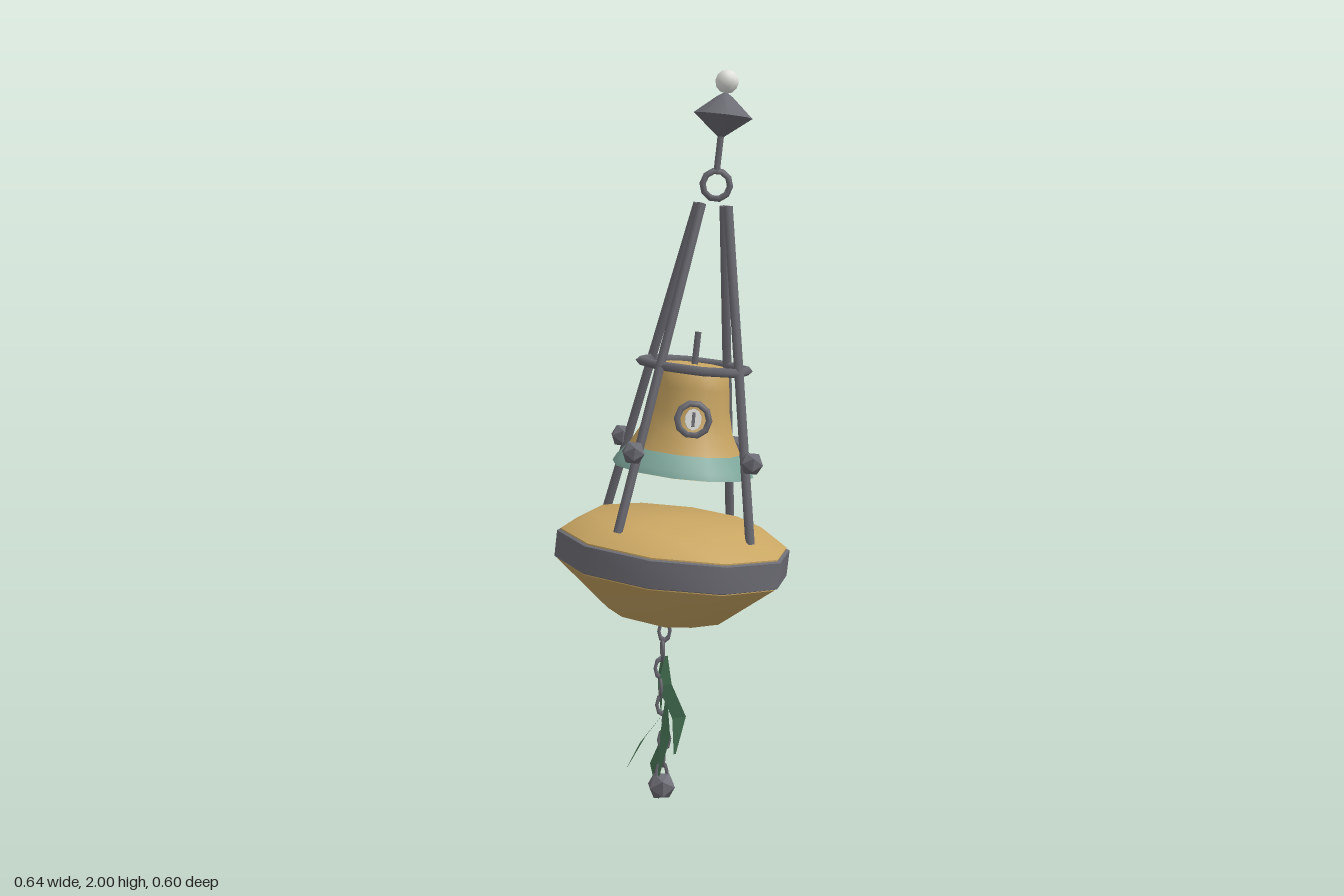
import * as THREE from 'three';
import { toCreasedNormals } from 'three/addons/utils/BufferGeometryUtils.js';

const flat = (name, color, side = THREE.FrontSide) =>
  Object.assign(new THREE.MeshStandardMaterial({ color, side }), { name });

export function createModel() {
  const model = new THREE.Group();
  model.name = 'bellBuoy';
  const brass = flat('brass', 0xc8a562, THREE.DoubleSide);
  const patina = flat('patina', 0x7fa89c, THREE.DoubleSide);
  const iron = flat('iron', 0x6c6c74);
  const white = flat('white', 0xe4e4e0);
  const weed = flat('weed', 0x4c7a5a, THREE.DoubleSide);

  // Everything above the chain leans to one side
  const buoy = new THREE.Group();
  buoy.name = 'leaningBuoy';
  buoy.position.set(-0.02, 0.52, 0);
  buoy.rotation.z = -0.113;
  model.add(buoy);

  const add = (parent, name, geo, mat, x = 0, y = 0, z = 0) => {
    const mesh = new THREE.Mesh(geo, mat);
    mesh.name = name;
    mesh.position.set(x, y, z);
    parent.add(mesh);
    return mesh;
  };
  const lathe = (pts, sides, start, crease = 0.75) =>
    toCreasedNormals(new THREE.LatheGeometry(pts.map(p => new THREE.Vector2(...p)), sides, start), crease);
  const rod = (name, a, b, r, sides = 6) => {
    const from = new THREE.Vector3(...a), to = new THREE.Vector3(...b);
    const dir = to.clone().sub(from);
    const mesh = add(buoy, name, new THREE.CylinderGeometry(r, r, dir.length(), sides), iron);
    mesh.position.copy(from).add(to).multiplyScalar(0.5);
    mesh.quaternion.setFromUnitVectors(new THREE.Vector3(0, 1, 0), dir.normalize());
    return mesh;
  };

  // Ten-sided float with an iron belt
  add(buoy, 'hull', lathe([[0, 0], [0.16, 0.042], [0.308, 0.165], [0.308, 0.248],
    [0.232, 0.297], [0, 0.3]], 10, Math.PI / 2), brass);
  add(buoy, 'hullBand', lathe([[0.306, 0.167], [0.317, 0.171], [0.317, 0.241], [0.306, 0.245]],
    10, Math.PI / 2), iron);

  // Four legs with knobs
  for (const sx of [-1, 1]) for (const sz of [-1, 1]) {
    rod('leg', [sx * 0.174, 0.28, sz * 0.17], [sx * 0.035, 1.14, sz * 0.035], 0.013);
    add(buoy, 'legKnob', new THREE.IcosahedronGeometry(0.032, 0), iron, sx * 0.155, 0.49, sz * 0.156);
  }
  const brace = add(buoy, 'braceRing', new THREE.TorusGeometry(0.146, 0.012, 4, 8), iron, 0, 0.715, 0);
  brace.rotation.x = Math.PI / 2;

  // Bell with a weathered lip, open underneath
  add(buoy, 'bell', lathe([[0.15, 0.493], [0.122, 0.545], [0.108, 0.6], [0.1, 0.66],
    [0.095, 0.695], [0.08, 0.718], [0, 0.72]], 12, Math.PI / 12), brass);
  add(buoy, 'bellLip', lathe([[0.191, 0.437], [0.182, 0.455], [0.15, 0.493]], 12, Math.PI / 12), patina);
  add(buoy, 'bellInside', lathe([[0.187, 0.436], [0.147, 0.49]], 12, Math.PI / 12), brass);
  rod('bellHanger', [0, 0.7, 0], [0, 0.805, 0], 0.009);

  // Round badge on the front of the bell
  const badge = new THREE.Group();
  badge.name = 'badge';
  badge.position.set(-0.004, 0.585, 0.113);
  badge.rotation.x = -0.15;
  buoy.add(badge);
  add(badge, 'badgeRing', new THREE.TorusGeometry(0.042, 0.009, 5, 10), iron);
  const plate = add(badge, 'badgePlate', new THREE.CylinderGeometry(0.022, 0.022, 0.008, 10), white);
  plate.rotation.x = Math.PI / 2;
  plate.scale.z = 1.3;
  add(badge, 'badgeSlit', new THREE.BoxGeometry(0.008, 0.038, 0.006), iron, 0, 0, 0.004);

  // Lifting ring, mast, double-cone topmark and lamp
  add(buoy, 'liftingRing', new THREE.TorusGeometry(0.036, 0.009, 5, 10), iron, 0.003, 1.192, 0);
  rod('mast', [0, 1.225, 0], [0, 1.34, 0], 0.009);
  add(buoy, 'topmark', lathe([[0, 1.31], [0.078, 1.371], [0.02, 1.42], [0, 1.432]], 8, 0, 0.7), iron);
  add(buoy, 'lamp', new THREE.IcosahedronGeometry(0.031, 1), white, 0, 1.458, 0);

  // Chain of alternating links, drifting slightly backwards
  const chain = new THREE.CatmullRomCurve3([[-0.02, 0.51, 0], [-0.03, 0.37, -0.01],
    [-0.018, 0.23, -0.02], [-0.025, 0.1, -0.03]].map(p => new THREE.Vector3(...p)));
  const links = 9;
  for (let i = 0; i < links; i++) {
    const p = chain.getPoint(i / (links - 1));
    const link = add(model, 'chainLink', new THREE.TorusGeometry(0.016, 0.005, 4, 8), iron, p.x, p.y, p.z);
    link.scale.y = 1.65;
    link.rotation.y = i % 2 ? Math.PI / 2 : 0.2;
  }
  add(model, 'weight', new THREE.IcosahedronGeometry(0.041, 0), iron, -0.025, 0.062, -0.032);

  // Seaweed blades: ribbons, each row is x, y, z, half width
  const blade = (rows, side) => {
    const pos = [], index = [];
    rows.forEach(([x, y, z, w], i) => {
      for (const s of [-1, 1]) pos.push(x + s * w * side[0], y + s * w * side[1], z + s * w * side[2]);
      const k = i * 2;
      if (i) index.push(k - 2, k, k - 1, k - 1, k, k + 1);
    });
    const geo = new THREE.BufferGeometry();
    geo.setAttribute('position', new THREE.Float32BufferAttribute(pos, 3));
    geo.setIndex(index);
    const faceted = geo.toNonIndexed();
    faceted.computeVertexNormals();
    add(model, 'seaweedBlade', faceted, weed);
  };
  blade([[-0.015, 0.44, 0, 0.004], [-0.02, 0.36, 0.005, 0.02], [0.018, 0.27, 0.015, 0.02],
    [0.005, 0.17, 0.025, 0.003]], [0.9, 0.2, 0.3]);
  blade([[-0.02, 0.46, -0.01, 0.004], [-0.025, 0.37, -0.045, 0.015], [-0.02, 0.26, -0.085, 0.002]],
    [0.5, 0.2, 0.7]);
  blade([[-0.03, 0.26, -0.02, 0.004], [-0.075, 0.19, -0.05, 0.014], [-0.115, 0.1, -0.085, 0.002]],
    [0.6, 0.5, -0.4]);
  blade([[-0.02, 0.21, -0.02, 0.004], [-0.04, 0.12, -0.045, 0.018], [-0.025, 0, -0.1, 0.002]],
    [0.8, 0, 0.5]);
  blade([[-0.015, 0.32, 0, 0.004], [-0.02, 0.22, 0.015, 0.02], [-0.04, 0.11, 0.028, 0.003]],
    [0.6, 0, 0.7]);

  return model;
}
